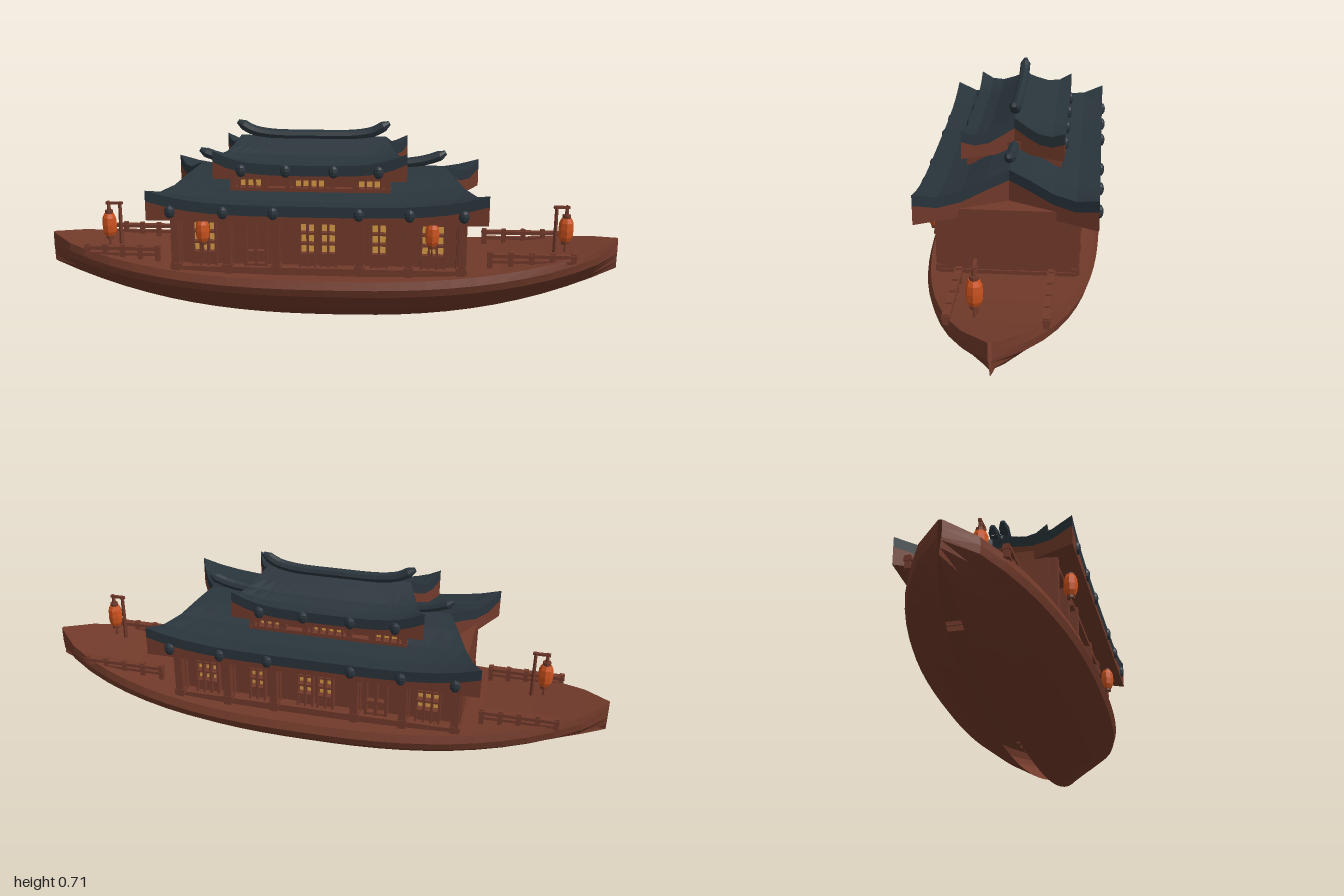
import * as THREE from 'three';

const paint = (name, color, side = THREE.FrontSide) => {
  const m = new THREE.MeshStandardMaterial({ color, side });
  m.name = name;
  return m;
};

export function createModel() {
  const boat = new THREE.Group();
  boat.name = 'riverBoat';
  const wood = paint('redBrownWood', 0x713a2a, THREE.DoubleSide);
  const tile = paint('slateRoof', 0x29343b);
  const orange = paint('lanternOrange', 0xcc521e);
  const amber = paint('windowAmber', 0xd69a45);

  // Adds a faceted mesh
  const add = (name, geometry, material, x = 0, y = 0, z = 0, parent = boat) => {
    const g = geometry.index ? geometry.toNonIndexed() : geometry;
    g.computeVertexNormals();
    const mesh = new THREE.Mesh(g, material);
    mesh.name = name;
    mesh.position.set(x, y, z);
    parent.add(mesh);
    return mesh;
  };
  const box = (name, mat, w, h, d, x, y, z, parent) =>
    add(name, new THREE.BoxGeometry(w, h, d), mat, x, y, z, parent);

  // Moves every vertex of a geometry by a rule
  const warp = (geometry, rule) => {
    const p = geometry.attributes.position;
    for (let i = 0; i < p.count; i++) p.setXYZ(i, ...rule(p.getX(i), p.getY(i), p.getZ(i)));
    return geometry;
  };

  // Hull lines: each section point is width, share of height, drop below the sheer
  const beam = x => Math.max(0.006, 0.285 * Math.pow(Math.max(0, 1 - Math.pow(Math.abs(x), 2.5)), 0.7));
  const sheer = x => 0.217 + (x > 0 ? 0.09 : 0.075) * Math.pow(Math.abs(x), 2.6);
  const keel = x => (x > 0 ? 0.2 : 0.185) * Math.pow(Math.abs(x), 2.5);
  const section = [[0.96, 1, 0], [1, 1, 0.027], [0.965, 1, 0.054], [0.63, 0.41, 0], [0.32, 0.2, 0], [0, 0, 0]];

  // Hull sides; the strake next to the keel is open on the back
  const hullSide = (name, s, strakes) => add(name, warp(
    new THREE.PlaneGeometry(2, strakes, 24, strakes), (px, py) => {
      const x = s * px;
      const [w, t, drop] = section[Math.round(strakes / 2 - py)];
      return [x, keel(x) + t * (sheer(x) - keel(x)) - drop, s * w * beam(x)];
    }), wood);
  hullSide('hullFront', 1, 5);
  hullSide('hullBack', -1, 4);
  add('deck', warp(new THREE.PlaneGeometry(2, 2, 24, 2),
    (x, y) => [x, sheer(x), -y * 0.96 * beam(x)]), wood);

  // Cabin
  const cx = -0.03;
  box('cabin', wood, 0.99, 0.25, 0.35, cx, 0.325, 0);
  box('cabinSill', wood, 1.0, 0.025, 0.43, cx, 0.23, 0);
  const postX = [-0.48, -0.305, -0.14, 0.14, 0.305, 0.48];
  const windows = [[-0.385, 3], [-0.035, 2], [0.035, 2], [0.205, 2], [0.385, 3]];
  for (const s of [-1, 1]) {
    box('headBeam', wood, 0.98, 0.03, 0.04, cx, 0.42, s * 0.2);
    for (const dx of postX) {
      box('pilaster', wood, 0.034, 0.2, 0.024, cx + dx, 0.325, s * 0.185);
      box('post', wood, 0.026, 0.21, 0.03, cx + dx, 0.325, s * 0.211);
      box('postFoot', wood, 0.034, 0.02, 0.036, cx + dx, 0.245, s * 0.21);
    }
    // Deep lattice windows: amber panes behind wooden bars
    for (const [dx, cols] of windows) {
      const w = cols * 0.026;
      box('windowPane', amber, w, 0.11, 0.006, cx + dx, 0.342, s * 0.174);
      for (let i = 0; i <= cols; i++)
        box('windowBar', wood, 0.007, 0.165, 0.026, cx + dx - w / 2 + i * 0.026, 0.322, s * 0.188);
      for (let j = 0; j <= 3; j++)
        box('windowBar', wood, w, 0.007, 0.026, cx + dx, 0.287 + j * 0.0365, s * 0.188);
      box('windowApron', wood, w, 0.04, 0.012, cx + dx, 0.262, s * 0.181);
    }
    // Panelled door
    for (const dx of [-0.245, -0.21, -0.175])
      box('doorStile', wood, 0.01, 0.165, 0.026, cx + dx, 0.322, s * 0.188);
    for (const y of [0.245, 0.29, 0.4])
      box('doorRail', wood, 0.07, 0.01, 0.022, cx - 0.21, y, s * 0.186);
  }

  // Upper storey
  const ux = -0.06;
  box('upperCabin', wood, 0.52, 0.13, 0.26, ux, 0.51, 0);
  box('upperSill', wood, 0.54, 0.016, 0.31, ux, 0.497, 0);
  for (const s of [-1, 1]) {
    for (const dx of [-0.26, -0.15, -0.075, 0.075, 0.15, 0.26])
      box('upperPost', wood, 0.018, 0.06, 0.026, ux + dx, 0.525, s * 0.14);
    for (const [dx, n] of [[-0.2, 3], [0, 4], [0.2, 3]]) {
      box('upperPane', amber, n * 0.026, 0.03, 0.006, ux + dx, 0.522, s * 0.129);
      for (let i = 0; i <= n; i++)
        box('upperBar', wood, 0.007, 0.04, 0.024, ux + dx + (i - n / 2) * 0.026, 0.522, s * 0.142);
    }
  }

  // Swept roof: eaves longer than the ridge, corners turned up
  const roof = (name, x0, eave, ridge, depth, heights, base, pegs) => {
    const surface = (u, w) => {
      const a = Math.abs(w);
      return heights[Math.round(a * 4)] - 0.045 * a * a * (1 - Math.pow(Math.abs(u), 4));
    };
    const layer = (top, bottom) => warp(new THREE.BoxGeometry(2, 1, 2, 16, 1, 8), (u, t, w) => {
      const x = x0 + u * (ridge + (eave - ridge) * Math.abs(w));
      return [x, t > 0 ? top(u, w) : bottom(u, w), w * depth];
    });
    const under = (u, w) => surface(u, w) - 0.036;
    add(name + 'Tiles', layer(surface, under), tile);
    add(name + 'Eaves', layer(under, () => base), wood);

    // Ridge beam with raised, tapered ends
    const top = heights[0];
    const pts = [[-0.97, 0.036], [-0.84, 0.018], [-0.6, 0.006], [0, 0.003], [0.6, 0.006], [0.84, 0.018], [0.97, 0.036]]
      .map(([u, h]) => new THREE.Vector3(x0 + u * ridge, top + h, 0));
    add(name + 'Ridge', new THREE.TubeGeometry(new THREE.CatmullRomCurve3(pts), 24, 0.018, 8), tile);
    for (const s of [-1, 1]) {
      const p = pts[s < 0 ? 0 : 6];
      const tip = new THREE.CylinderGeometry(0.008, 0.018, 0.024, 8).translate(0, 0.01, 0).rotateZ(-s * 1.05);
      add(name + 'RidgeTip', tip, tile, p.x, p.y, 0);

      // Round tile ends along the eaves
      for (const dx of pegs)
        add(name + 'TileEnd', new THREE.SphereGeometry(0.022, 8, 6).scale(0.8, 1, 0.5),
          tile, x0 + dx, base + 0.03, s * (depth + 0.001));
    }
  };
  roof('lowerRoof', cx, 0.56, 0.42, 0.285, [0.555, 0.533, 0.507, 0.5, 0.52], 0.42, postX);
  roof('upperRoof', ux, 0.325, 0.25, 0.167, [0.655, 0.632, 0.614, 0.612, 0.63], 0.535, [-0.23, -0.08, 0.08, 0.23]);

  // Lanterns
  const shade = [[0, -0.04], [0.017, -0.04], [0.024, -0.025], [0.026, 0], [0.024, 0.025], [0.017, 0.04], [0, 0.04]]
    .map(([r, y]) => new THREE.Vector2(r, y));
  const lantern = (x, y, z, size) => {
    const g = new THREE.Group();
    g.name = 'lantern';
    g.position.set(x, y, z);
    g.scale.setScalar(size);
    boat.add(g);
    add('lanternShade', new THREE.LatheGeometry(shade, 8), orange, 0, 0, 0, g);
    for (const s of [-1, 1])
      add('lanternCap', new THREE.CylinderGeometry(0.014, 0.014, 0.014, 8), wood, 0, s * 0.045, 0, g);
    add('lanternHook', new THREE.CylinderGeometry(0.004, 0.008, 0.035, 6), wood, 0, 0.068, 0, g);
    add('lanternTassel', new THREE.CylinderGeometry(0.003, 0.005, 0.03, 6), wood, 0, -0.065, 0, g);
  };
  for (const dx of [-0.38, 0.38]) lantern(cx + dx, 0.377, 0.245, 0.9);
  for (const [x, z, y, poleX] of [[-0.78, 0.05, 0.337, -0.74], [0.81, 0.063, 0.353, 0.775]]) {
    lantern(x, y, z, 1);
    const base = sheer(poleX);
    const top = y + 0.078;
    add('lanternPole', new THREE.CylinderGeometry(0.006, 0.008, top - base + 0.01, 6), wood, poleX, (top + base) / 2, z);
    box('lanternArm', wood, Math.abs(x - poleX) + 0.02, 0.009, 0.009, (x + poleX) / 2, top, z);
  }

  // Deck railings at bow and stern
  for (const [a, b] of [[-0.835, -0.59], [0.55, 0.83]]) for (const s of [-1, 1]) {
    const z = s * 0.143;
    for (let i = 0; i < 5; i++) {
      const x = a + (b - a) * i / 4;
      const foot = sheer(x) - 0.015;
      box('railPost', wood, 0.016, 0.292 - foot, 0.018, x, (0.292 + foot) / 2, z);
    }
    box('topRail', wood, b - a + 0.02, 0.012, 0.024, (a + b) / 2, 0.28, z);
    box('lowRail', wood, b - a, 0.01, 0.014, (a + b) / 2, 0.259, z);
  }
  return boat;
}
